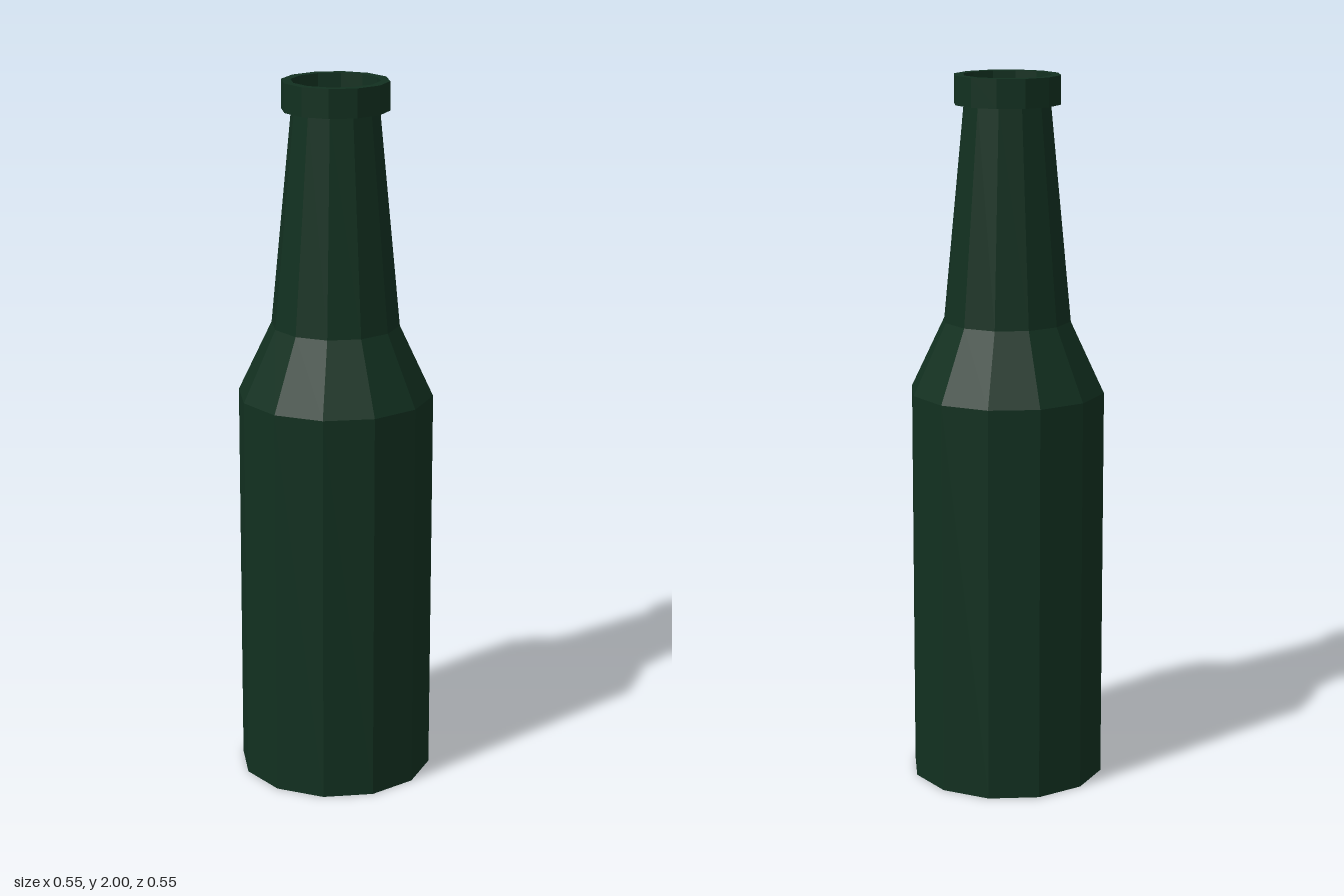
import * as THREE from 'three';

const SIDES = 12;

export function createModel() {
  const bottle = new THREE.Group();
  bottle.name = 'bottle';
  const glass = new THREE.MeshStandardMaterial({ color: 0x123020, flatShading: true });

  // Turns a [radius, height] profile around the y axis
  const turn = (name, profile) => {
    const points = profile.map(([r, y]) => new THREE.Vector2(r, y));
    const mesh = new THREE.Mesh(new THREE.LatheGeometry(points, SIDES), glass);
    mesh.name = name;
    bottle.add(mesh);
  };

  // Base and straight wall
  turn('body', [[0, 0], [0.275, 0], [0.275, 1.12]]);

  // Sloping shoulder
  turn('shoulder', [[0.275, 1.12], [0.18, 1.32]]);

  // Tapered neck, closed inside the mouth
  turn('neck', [[0.18, 1.32], [0.122, 1.92], [0, 1.92]]);

  // Raised ring around the mouth, open in the middle
  turn('lip', [[0.122, 1.92], [0.149, 1.92], [0.149, 2], [0.123, 2], [0.122, 1.92]]);

  return bottle;
}
